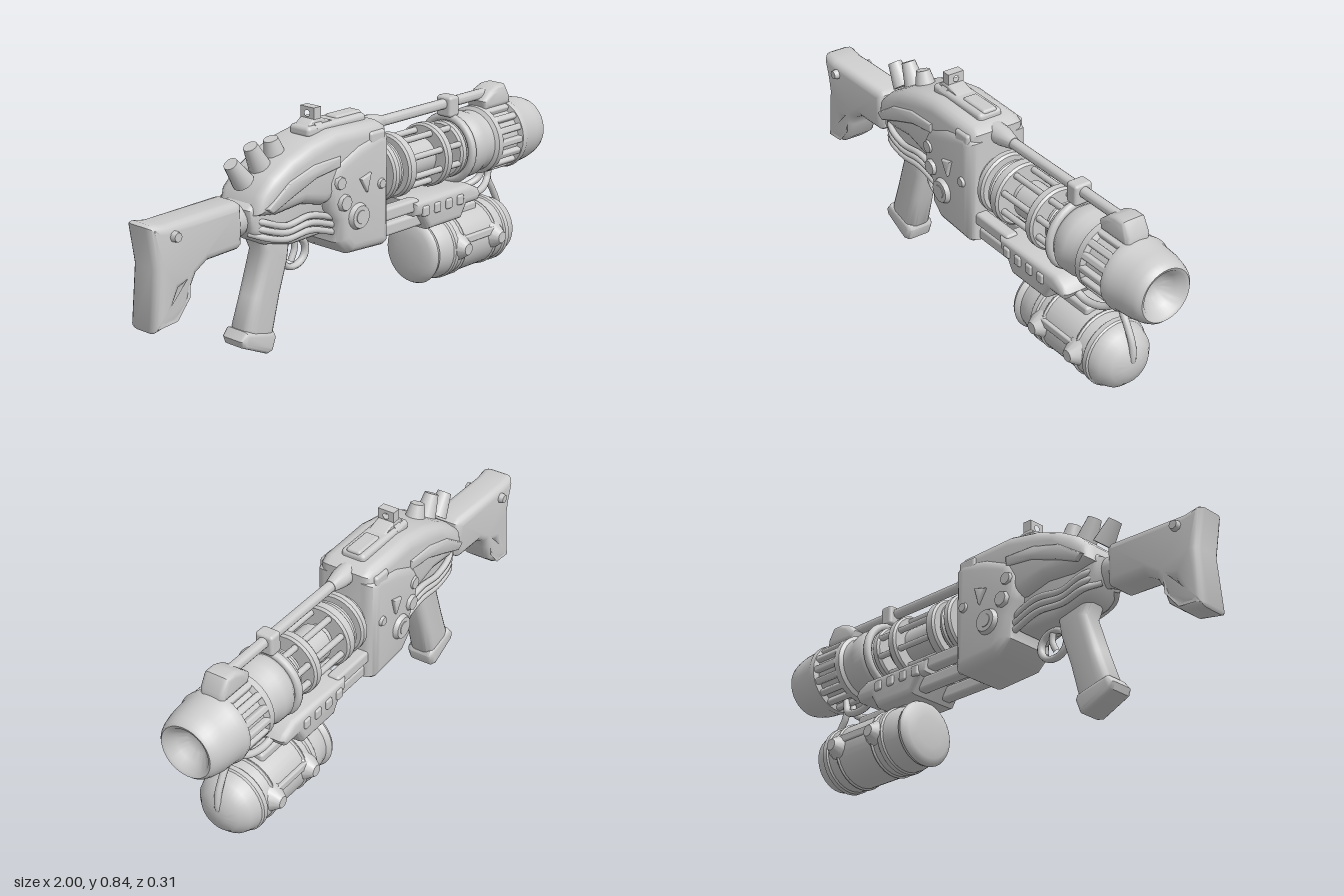
import * as THREE from 'three';
import { toCreasedNormals } from 'three/addons/utils/BufferGeometryUtils.js';
import { RoundedBoxGeometry } from 'three/addons/geometries/RoundedBoxGeometry.js';

export function createModel() {
  const model = new THREE.Group();
  const grey = new THREE.MeshStandardMaterial({ color: 0xcccccc });
  grey.name = 'grey metal';
  const AXIS = 0.535; // barrel height

  const add = (name, geo, x = 0, y = 0, z = 0) => {
    const m = new THREE.Mesh(geo, grey);
    m.name = name;
    m.position.set(x, y, z);
    model.add(m);
    return m;
  };
  const both = (f) => [1, -1].forEach(f);
  const vec2 = (pts) => pts.map((p) => new THREE.Vector2(p[0], p[1]));

  // side outline given in x, y, thickened to +-half in z with rounded edges
  const slab = (name, pts, half, bevel, hole, z = 0) => {
    const shape = new THREE.Shape(vec2(pts));
    if (hole) shape.holes.push(new THREE.Path(vec2(hole)));
    const geo = new THREE.ExtrudeGeometry(shape, {
      depth: 2 * (half - bevel), bevelEnabled: true, bevelThickness: bevel,
      bevelSize: bevel, bevelOffset: -bevel, bevelSegments: 4,
    });
    geo.translate(0, 0, -(half - bevel));
    return add(name, toCreasedNormals(geo, 0.8), 0, 0, z);
  };
  // solid turned about the x axis, profile as [x, radius]
  const turned = (name, pts, y = AXIS, segs = 32) => {
    const geo = new THREE.LatheGeometry(pts.map((p) => new THREE.Vector2(p[1], p[0])), segs);
    geo.rotateZ(-Math.PI / 2);
    return add(name, toCreasedNormals(geo, 0.7), 0, y, 0);
  };
  const disc = (name, x0, x1, r, y = AXIS) => {
    const c = 0.008;
    return turned(name, [[x0, 0], [x0, r - c], [x0 + c, r], [x1 - c, r], [x1, r - c], [x1, 0]], y);
  };
  const box = (name, x0, x1, y0, y1, half, r = 0.012, z = 0) =>
    add(name, new RoundedBoxGeometry(x1 - x0, y1 - y0, half * 2, 2, r), (x0 + x1) / 2, (y0 + y1) / 2, z);
  const hose = (name, pts, r) => add(name, new THREE.TubeGeometry(
    new THREE.CatmullRomCurve3(pts.map((p) => new THREE.Vector3(...p))), 24, r, 10));
  const boss = (name, x, y, z, r, h, segs = 20, taper = 0.75) => both((s) => {
    const m = add(name, new THREE.CylinderGeometry(r * taper, r, h, segs), x, y, s * z);
    m.rotation.x = s * Math.PI / 2;
  });

  // shoulder stock
  slab('stock', [[-1, 0.585], [-0.985, 0.592], [-0.93, 0.582], [-0.61, 0.59], [-0.59, 0.575], [-0.59, 0.435], [-0.61, 0.42],
    [-0.75, 0.415], [-0.8, 0.385], [-0.822, 0.345], [-0.842, 0.28], [-0.9, 0.235], [-0.99, 0.218], [-0.998, 0.23], [-0.977, 0.44]],
  0.066, 0.03, [[-0.925, 0.27], [-0.912, 0.272], [-0.868, 0.325], [-0.862, 0.36], [-0.878, 0.352]]);
  boss('stockLug', -0.9, 0.54, 0.07, 0.022, 0.03, 8);
  turned('stockCollar', [[-0.62, 0], [-0.62, 0.055], [-0.57, 0.06], [-0.55, 0.05], [-0.52, 0.05], [-0.52, 0]], 0.505, 20);

  // receiver
  slab('receiverCore', [[-0.57, 0.55], [-0.56, 0.47], [-0.49, 0.41], [-0.36, 0.38], [-0.19, 0.385], [-0.1, 0.45], [-0.1, 0.65], [-0.45, 0.64]], 0.075, 0.025);
  slab('receiverShell', [[-0.555, 0.53], [-0.54, 0.6], [-0.48, 0.655], [-0.4, 0.7], [-0.3, 0.735], [-0.18, 0.758], [0.05, 0.752],
    [0.085, 0.73], [0.085, 0.62], [-0.1, 0.52], [-0.24, 0.5], [-0.34, 0.525], [-0.46, 0.515]], 0.114, 0.045);
  slab('receiverHousing', [[-0.19, 0.65], [-0.23, 0.58], [-0.22, 0.48], [-0.18, 0.43], [-0.18, 0.35], [-0.12, 0.295], [0.06, 0.285],
    [0.085, 0.3], [0.085, 0.7], [0.04, 0.725], [-0.08, 0.7]], 0.125, 0.042);
  both((s) => {
    slab('shellRib', [[-0.53, 0.555], [-0.42, 0.63], [-0.3, 0.665], [-0.17, 0.67], [-0.17, 0.63], [-0.29, 0.615], [-0.4, 0.575], [-0.5, 0.535]],
      0.012, 0.01, null, s * 0.11);
    box('sidePanel', -0.02, 0.06, 0.665, 0.725, 0.014, 0.012, s * 0.108);
    slab('sideWedge', [[-0.085, 0.57], [-0.03, 0.585], [-0.05, 0.515]], 0.014, 0.009, null, s * 0.124);
    // cables running along the rear underside
    for (let i = 0; i < 3; i++) {
      const d = i * 0.027;
      hose('rearCable', [[-0.55, 0.515 - d, s * 0.04], [-0.5, 0.495 - d, s * 0.08], [-0.41, 0.465 - d * 0.9, s * 0.085],
        [-0.29, 0.475 - d, s * 0.085], [-0.17, 0.44 - d, s * 0.08]], 0.012);
    }
  });
  boss('dial', -0.09, 0.435, 0.127, 0.055, 0.03);
  boss('dialCap', -0.09, 0.435, 0.134, 0.032, 0.02);
  boss('bolt', -0.16, 0.5, 0.126, 0.036, 0.024, 8);
  boss('bolt', -0.18, 0.575, 0.118, 0.03, 0.03, 8);
  boss('bolt', 0.03, 0.53, 0.126, 0.022, 0.018, 12);

  // rear studs and top sight
  [[-0.535, 0.64, 0.65, 0.095], [-0.455, 0.68, 0.5, 0.09], [-0.38, 0.705, 0.3, 0.065]].forEach(([x, y, tilt, len]) => {
    const geo = new THREE.CylinderGeometry(0.026, 0.04, len, 14);
    geo.translate(0, len / 2 - 0.012, 0);
    add('rearStud', geo, x, y, 0).rotation.z = tilt;
  });
  box('topPlate', -0.26, 0.035, 0.735, 0.776, 0.05, 0.016);
  box('topRail', -0.1, 0.03, 0.76, 0.784, 0.03, 0.01);
  const sight = new THREE.Shape(vec2([[-0.05, 0.765], [-0.033, 0.785], [-0.033, 0.836], [0.033, 0.836], [0.033, 0.785], [0.05, 0.765]]));
  sight.holes.push(new THREE.Path().absarc(0, 0.812, 0.012, 0, Math.PI * 2, true));
  const sightGeo = new THREE.ExtrudeGeometry(sight, { depth: 0.035, bevelEnabled: false });
  sightGeo.rotateY(Math.PI / 2);
  add('sight', sightGeo, -0.217, 0, 0);
  slab('sightFoot', [[-0.25, 0.77], [-0.215, 0.797], [-0.185, 0.797], [-0.12, 0.775]], 0.035, 0.008);

  // grip, trigger and guard
  slab('grip', [[-0.5, 0.43], [-0.475, 0.37], [-0.525, 0.22], [-0.565, 0.11], [-0.55, 0.06], [-0.47, 0.03], [-0.435, 0.05],
    [-0.395, 0.2], [-0.355, 0.32], [-0.34, 0.42]], 0.05, 0.03);
  slab('gripFoot', [[-0.57, 0.108], [-0.594, 0.078], [-0.585, 0.052], [-0.47, 0], [-0.445, 0.006], [-0.426, 0.055], [-0.435, 0.075]], 0.056, 0.018);
  add('triggerGuard', new THREE.TorusGeometry(0.053, 0.012, 10, 28), -0.292, 0.322, 0).scale.set(1.15, 1, 1.3);
  hose('trigger', [[-0.29, 0.38, 0], [-0.285, 0.335, 0], [-0.305, 0.29, 0]], 0.012);

  // barrel coil section
  disc('barrelCore', 0.05, 0.57, 0.05);
  disc('coilCore', 0.26, 0.4, 0.07);
  [[0.07, 0.1, 0.09], [0.11, 0.145, 0.12], [0.155, 0.18, 0.105], [0.19, 0.235, 0.122], [0.395, 0.435, 0.122], [0.45, 0.475, 0.08], [0.495, 0.53, 0.11]]
    .forEach(([a, b, r]) => disc('coilRing', a, b, r));
  for (let i = 0; i < 8; i++) {
    const a = (i + 0.5) * Math.PI / 4;
    const rod = add('coilRod', new THREE.CylinderGeometry(0.012, 0.012, 0.3, 10),
      0.36, AXIS + 0.097 * Math.cos(a), 0.097 * Math.sin(a));
    rod.rotation.z = Math.PI / 2;
  }

  // muzzle housing with a shallow cupped mouth
  turned('muzzle', [[0.53, 0], [0.53, 0.085], [0.555, 0.118], [0.575, 0.13], [0.62, 0.128], [0.65, 0.118], [0.68, 0.118],
    [0.69, 0.132], [0.715, 0.132], [0.725, 0.114], [0.825, 0.114], [0.83, 0.136], [0.85, 0.139], [0.865, 0.132], [0.93, 0.127],
    [0.97, 0.118], [0.99, 0.11], [1, 0.1], [0.995, 0.088], [0.965, 0.065], [0.94, 0.04], [0.93, 0]], AXIS, 36);
  for (let i = 0; i < 16; i++) {
    const a = i * Math.PI / 8;
    const fin = add('muzzleFin', new RoundedBoxGeometry(0.125, 0.03, 0.026, 2, 0.008),
      0.772, AXIS + 0.118 * Math.cos(a), 0.118 * Math.sin(a));
    fin.rotation.x = a;
  }

  // upper pipe with brackets
  turned('pipeSocket', [[0.06, 0], [0.06, 0.038], [0.11, 0.036], [0.17, 0.022], [0.17, 0]], 0.71, 16);
  turned('upperPipe', [[0.08, 0], [0.08, 0.02], [0.8, 0.02], [0.8, 0]], 0.71, 16);
  box('pipeClamp', 0.51, 0.565, 0.66, 0.74, 0.036);
  const yoke = add('yoke', new THREE.TorusGeometry(0.122, 0.016, 10, 32), 0.54, AXIS, 0);
  yoke.rotation.y = Math.PI / 2;
  slab('frontBracket', [[0.7, 0.69], [0.74, 0.725], [0.78, 0.74], [0.825, 0.74], [0.855, 0.69], [0.855, 0.655], [0.71, 0.655]], 0.05, 0.02);

  // lower rail
  both((s) => {
    box('railArm', 0.06, 0.27, 0.365, 0.415, 0.025, 0.012, s * 0.075);
    box('railArm', 0.06, 0.35, 0.3, 0.35, 0.025, 0.012, s * 0.06);
    for (let i = 0; i < 4; i++) box('railTooth', 0.27 + i * 0.065, 0.305 + i * 0.065, 0.345, 0.385, 0.012, 0.008, s * 0.11);
  });
  slab('rail', [[0.23, 0.405], [0.24, 0.35], [0.27, 0.345], [0.31, 0.285], [0.5, 0.285], [0.53, 0.335], [0.6, 0.335],
    [0.615, 0.36], [0.6, 0.385], [0.55, 0.41]], 0.114, 0.024);

  // gas tank slung under the rail
  turned('tank', [[0.32, 0], [0.322, 0.06], [0.328, 0.1], [0.338, 0.12], [0.35, 0.126], [0.365, 0.12], [0.37, 0.114], [0.39, 0.118], [0.42, 0.124],
    [0.77, 0.124], [0.81, 0.11], [0.84, 0.08], [0.855, 0.04], [0.86, 0]], 0.168, 36);
  [[0.44, 0.475], [0.495, 0.515], [0.68, 0.7], [0.735, 0.77]].forEach(([a, b]) => disc('tankBand', a, b, 0.13, 0.168));
  box('tankMount', 0.4, 0.66, 0.26, 0.31, 0.05);
  boss('tankLug', 0.49, 0.175, 0.132, 0.055, 0.048, 12, 0.4);
  boss('tankLug', 0.69, 0.175, 0.132, 0.055, 0.048, 12, 0.4);
  both((s) => box('tankStrap', 0.48, 0.7, 0.185, 0.215, 0.009, 0.006, s * 0.12));

  // feed hoses
  hose('feedHose', [[0.78, 0.43, 0], [0.785, 0.36, 0], [0.815, 0.31, 0], [0.845, 0.25, 0], [0.85, 0.19, 0], [0.83, 0.15, 0]], 0.013);
  both((s) => hose('railHose', [[0.58, 0.36, s * 0.05], [0.64, 0.338, s * 0.045], [0.71, 0.345, s * 0.035], [0.755, 0.37, s * 0.02], [0.77, 0.42, s * 0.015]], 0.014));
  return model;
}
